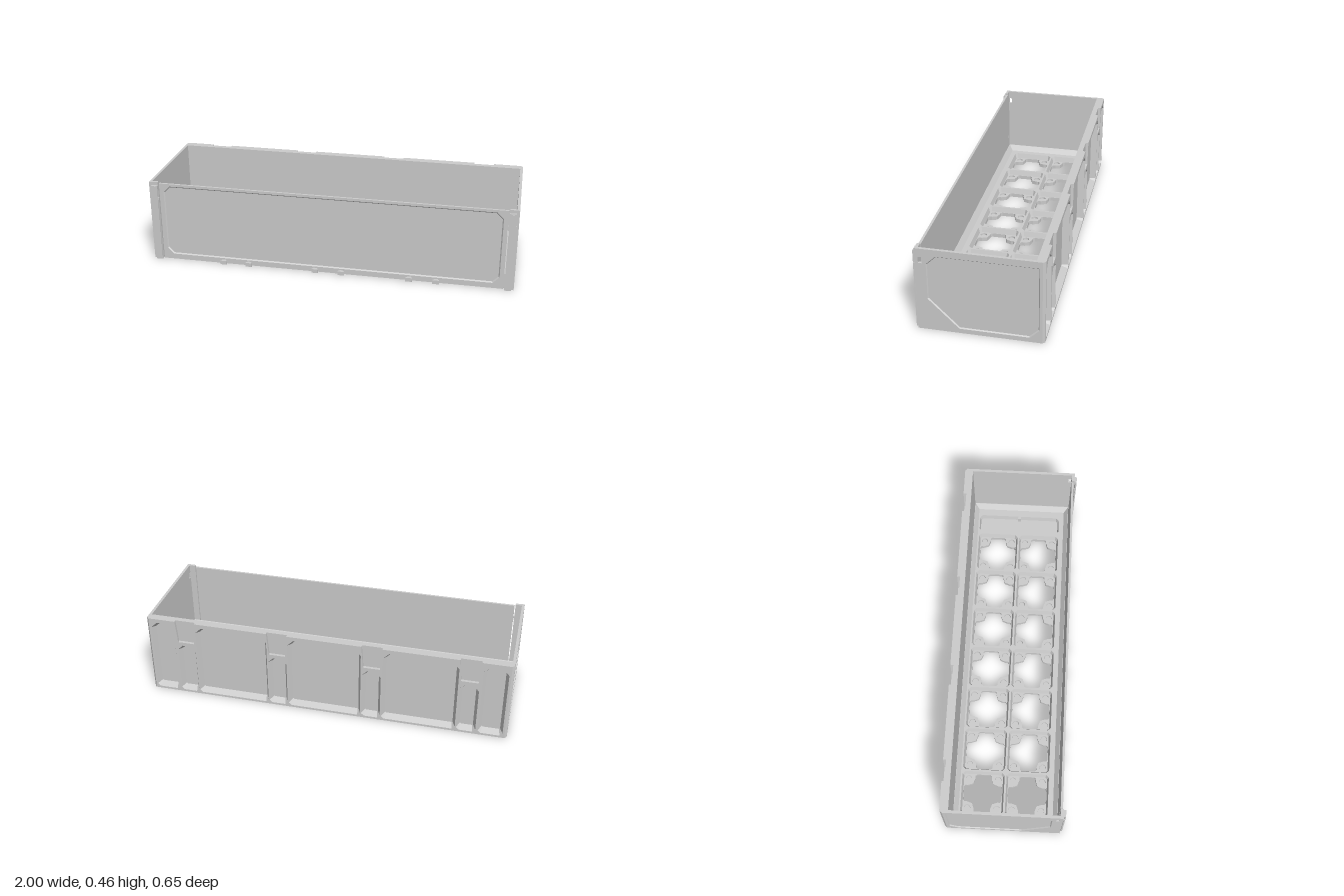
import * as THREE from 'three';

const material = new THREE.MeshStandardMaterial({ color: 0xcccccc, side: THREE.DoubleSide, flatShading: true });

// Rectangle with chamfered corners: bottom left, bottom right, top right, top left
function rect(x0, y0, x1, y1, c = [0, 0, 0, 0]) {
  const [a, b, d, e] = c;
  const pts = [];
  const corner = (c, p, q) => c ? pts.push(p, q) : pts.push(p);
  corner(a, [x0, y0 + a], [x0 + a, y0]);
  corner(b, [x1 - b, y0], [x1, y0 + b]);
  corner(d, [x1, y1 - d], [x1 - d, y1]);
  corner(e, [x0 + e, y1], [x0, y1 - e]);
  return pts;
}

const shapeOf = (pts) => new THREE.Shape(pts.map(([x, y]) => new THREE.Vector2(x, y)));

// Moves every side of a counter-clockwise outline inwards by d
function inset(pts, d) {
  const normal = (a, b) => {
    const l = Math.hypot(b[0] - a[0], b[1] - a[1]);
    return [-(b[1] - a[1]) / l, (b[0] - a[0]) / l];
  };
  return pts.map((p, i) => {
    const n = normal(pts.at(i - 1), p), m = normal(p, pts[(i + 1) % pts.length]);
    const k = d / (1 + n[0] * m[0] + n[1] * m[1]);
    return [p[0] + (n[0] + m[0]) * k, p[1] + (n[1] + m[1]) * k];
  });
}

// Plate facing +z with sloped pockets; a pocket as deep as the plate is a hole
function plate(name, outline, thick, pockets) {
  const group = new THREE.Group();
  group.name = name;
  const pos = [];
  const face = (pts, holes, z) => {
    const shape = shapeOf(pts);
    shape.holes = holes.map(shapeOf);
    const g = new THREE.ShapeGeometry(shape).toNonIndexed().translate(0, 0, z);
    for (const v of g.attributes.position.array) pos.push(v);
  };
  const loft = (a, za, b, zb) => a.forEach((p, i) => {
    const j = (i + 1) % a.length, q = a[j], r = b[j], s = b[i];
    pos.push(...p, za, ...s, zb, ...r, zb, ...p, za, ...r, zb, ...q, za);
  });
  const through = [];
  for (const { pts, depth, slope } of pockets) {
    const low = inset(pts, slope);
    loft(pts, 0, low, -depth);
    if (depth < thick) face(low, [], -depth);
    else through.push(low);
  }
  face(outline, pockets.map((p) => p.pts), 0);
  face(outline, through, -thick);
  loft(outline, 0, outline, -thick);
  const geometry = new THREE.BufferGeometry();
  geometry.setAttribute('position', new THREE.Float32BufferAttribute(pos, 3));
  geometry.computeVertexNormals();
  const mesh = new THREE.Mesh(geometry, material);
  mesh.name = name + 'Surface';
  group.add(mesh);
  return group;
}

function box(name, x0, x1, y0, y1, z0, z1) {
  const mesh = new THREE.Mesh(new THREE.BoxGeometry(x1 - x0, y1 - y0, z1 - z0), material);
  mesh.name = name;
  mesh.position.set((x0 + x1) / 2, (y0 + y1) / 2, (z0 + z1) / 2);
  return mesh;
}

// Upright prism from an outline given in x and z
function prism(name, pts, y0, y1) {
  const shape = shapeOf(pts.map(([x, z]) => [x, -z]));
  const g = new THREE.ExtrudeGeometry(shape, { depth: y1 - y0, bevelEnabled: false });
  const mesh = new THREE.Mesh(g.rotateX(-Math.PI / 2).translate(0, y0, 0), material);
  mesh.name = name;
  return mesh;
}

const dovetail = (x) => [[x - 0.01, 0.302], [x + 0.01, 0.302], [x + 0.01, 0.311],
  [x + 0.018, 0.316], [x + 0.018, 0.323], [x - 0.018, 0.323], [x - 0.018, 0.316], [x - 0.01, 0.311]];

export function createModel() {
  const model = new THREE.Group();
  model.name = 'drawerBin';
  const H = 0.46;

  // Front wall with a shallow framed panel
  const front = plate('frontWall', rect(-0.945, 0, 0.945, 0.452), 0.012, [
    { pts: rect(-0.922, 0.03, 0.922, 0.438, [0.035, 0.035, 0.035, 0.035]), depth: 0.006, slope: 0.006 }]);
  front.position.z = 0.305;
  model.add(front);

  // Side walls with recessed panel and latch slot, front posts and rails
  for (const s of [1, -1]) {
    const half = new THREE.Group();
    half.name = s > 0 ? 'leftEnd' : 'rightEnd';
    const wall = plate('sideWall', rect(-0.31, 0, 0.312, H), 0.015, [
      { pts: [[-0.255, 0.18], [-0.1, 0.025], [0.25, 0.025], [0.298, 0.072], [0.298, 0.425], [-0.207, 0.425], [-0.255, 0.378]],
        depth: 0.006, slope: 0.005 },
      { pts: rect(-0.293, 0.38, -0.275, 0.414), depth: 0.015, slope: 0 }]);
    wall.rotation.y = Math.PI / 2;
    wall.position.x = 1;
    half.add(wall,
      prism('backCornerChamfer', [[1, -0.312], [0.988, -0.325], [0.98, -0.325], [0.98, -0.312]], 0, H),
      box('frontPost', 0.95, 0.998, 0, H, 0.294, 0.309),
      prism('frontRail', dovetail(0.968), 0, 0.438),
      box('railHook', 0.95, 0.986, 0.422, 0.442, 0.309, 0.321),
      box('railCatch', 0.946, 0.99, 0.347, 0.373, 0.312, 0.32));
    half.scale.x = s;
    model.add(half);
  }

  // Back wall: three wide pockets, end pockets, and narrow pockets under open slots
  const slots = [-0.78, -0.26, 0.26, 0.78];
  const outline = [[-0.985, 0], [0.985, 0], [0.985, H]];
  for (const x of [...slots].reverse()) {
    outline.push([x + 0.056, H], [x + 0.046, 0.33], [x - 0.046, 0.33], [x - 0.056, H]);
  }
  outline.push([-0.985, H]);
  const pocket = (x0, x1, y1, c) => ({ pts: rect(x0, 0.012, x1, y1, [0.015, 0.015, c, c]), depth: 0.036, slope: 0.017 });
  const back = plate('backWall', outline, 0.045, [
    ...[-0.52, 0, 0.52].map((x) => pocket(x - 0.202, x + 0.202, 0.438, 0.035)),
    ...slots.map((x) => pocket(x - 0.052, x + 0.052, 0.31, 0.03)),
    pocket(0.845, 0.977, 0.438, 0.035),
    pocket(-0.977, -0.845, 0.438, 0.035)]);
  back.rotation.y = Math.PI;
  back.position.z = -0.325;
  model.add(back);
  for (const x of slots) model.add(box('slotBack', x - 0.057, x + 0.057, 0.325, H, -0.309, -0.28));

  // Floor: cross-shaped openings with a round seat in each corner tab
  const quarter = [[0.107, 0.036], [0.1, 0.046], [0.085, 0.046], [0.056, 0.056], [0.046, 0.085], [0.046, 0.1], [0.036, 0.107]];
  const crosses = [], cells = [];
  for (let i = 0; i < 7; i++) for (const v of [-0.12, 0.127]) {
    const u = -0.806 + i * 0.2467;
    const cross = [];
    for (let k = 0; k < 4; k++) {
      const c = Math.round(Math.cos(k * Math.PI / 2)), s = Math.round(Math.sin(k * Math.PI / 2));
      for (const [a, b] of quarter) cross.push([u + a * c - b * s, v + a * s + b * c]);
      const seat = [];
      for (let n = 0; n < 16; n++) {
        const t = n * Math.PI / 8;
        seat.push([u + 0.082 * (c - s) + 0.018 * Math.cos(t), v + 0.082 * (c + s) + 0.018 * Math.sin(t)]);
      }
      crosses.push({ pts: seat, depth: 0.01, slope: 0.001 });
    }
    crosses.push({ pts: cross, depth: 0.022, slope: 0 });
    cells.push({ pts: rect(u - 0.118, v - 0.118, u + 0.118, v + 0.118, [0.015, 0.015, 0.015, 0.015]), depth: 0.03, slope: 0.009 });
  }
  cells.push({ pts: rect(0.812, -0.238, 0.918, 0.245, [0.015, 0.015, 0.015, 0.015]), depth: 0.03, slope: 0.006 });
  const area = rect(-0.985, -0.293, 0.985, 0.28);
  const floor = plate('floorPlate', area, 0.022, crosses);
  const grid = plate('floorGrid', area, 0.03, cells);
  // Sloped skirt where the walls meet the floor
  const skirt = plate('floorSkirt', area, 0.03, [{ pts: inset(area, 0.002), depth: 0.03, slope: 0.024 }]);
  [[floor, 0.022], [grid, 0.052], [skirt, 0.082]].forEach(([part, y]) => {
    part.rotation.x = -Math.PI / 2;
    part.position.y = y;
    model.add(part);
  });
  model.add(box('ribStub', 0.8, 0.832, 0.022, 0.052, -0.012, 0.006),
    box('ribStub', 0.902, 0.93, 0.022, 0.052, -0.012, 0.006));

  // Small clips along the lower front edge
  for (const x of [-0.595, -0.45, -0.075, 0.07, 0.442, 0.588]) {
    model.add(prism('frontClip', dovetail(x), 0, 0.022));
  }
  return model;
}
